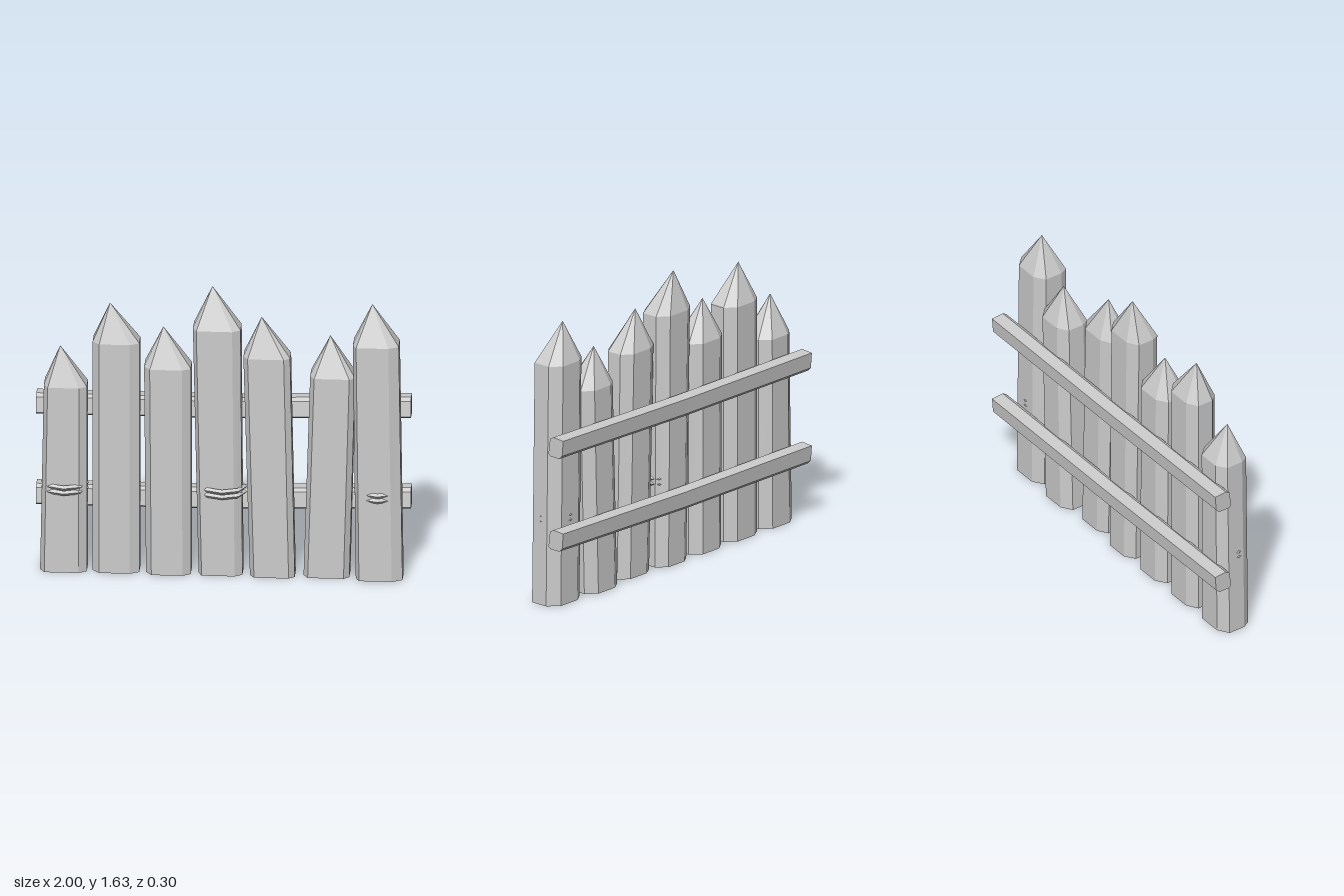
import * as THREE from 'three';

// Flat-shaded skin over a list of rings (equal point counts), closed at both ends.
function loft(rings) {
  const pos = [];
  const tri = (a, b, c) => {
    const n = b.clone().sub(a).cross(c.clone().sub(a));
    if (n.length() > 1e-9) for (const p of [a, b, c]) pos.push(p.x, p.y, p.z);
  };
  const n = rings[0].length;
  for (let r = 0; r + 1 < rings.length; r++) {
    for (let i = 0; i < n; i++) {
      const j = (i + 1) % n, lo = rings[r], hi = rings[r + 1];
      tri(lo[i], lo[j], hi[j]);
      tri(lo[i], hi[j], hi[i]);
    }
  }
  const first = rings[0], last = rings[rings.length - 1];
  for (let i = 1; i + 1 < n; i++) {
    tri(first[0], first[i + 1], first[i]);
    tri(last[0], last[i], last[i + 1]);
  }
  const g = new THREE.BufferGeometry();
  g.setAttribute('position', new THREE.Float32BufferAttribute(pos, 3));
  g.computeVertexNormals();
  return g;
}

// Eight-sided stake outline; l and r are the chamfer widths as fractions.
function stakeRing(y, x0, x1, z0, z1, l, r) {
  const w = x1 - x0, d = z1 - z0;
  return [
    [1 - r, 1], [1, 0.84], [1, 0.3], [0.78, 0],
    [0.24, 0], [0, 0.22], [0, 0.76], [l, 1],
  ].map(([u, v]) => new THREE.Vector3(x0 + u * w, y, z0 + v * d));
}

export function createModel() {
  const model = new THREE.Group();
  const wood = new THREE.MeshStandardMaterial({ color: 0xcccccc, flatShading: true });
  wood.name = 'pale grey';
  const add = (geometry, name, parent = model) => {
    const mesh = new THREE.Mesh(geometry, wood);
    mesh.name = name;
    parent.add(mesh);
    return mesh;
  };

  // Pointed stakes: foot x range, shoulder x range and height, tip, z range, chamfers
  const stakes = [
    { foot: [-0.97, -0.72], top: [-0.95, -0.72], h: 1.065, tip: [-0.865, 1.28, 0.04], z: [-0.06, 0.118], c: [0.1, 0.17] },
    { foot: [-0.69, -0.44], top: [-0.69, -0.44], h: 1.32, tip: [-0.6, 1.53, 0.03], z: [-0.06, 0.11], c: [0.15, 0.2] },
    { foot: [-0.405, -0.165], top: [-0.415, -0.165], h: 1.185, tip: [-0.315, 1.4, 0.03], z: [-0.06, 0.12], c: [0.13, 0.18] },
    { foot: [-0.125, 0.11], top: [-0.155, 0.1], h: 1.41, tip: [-0.055, 1.63, 0.005], z: [-0.062, 0.11], c: [0.08, 0.17] },
    { foot: [0.15, 0.39], top: [0.115, 0.365], h: 1.26, tip: [0.21, 1.475, 0.04], z: [-0.04, 0.12], c: [0.1, 0.13] },
    { foot: [0.435, 0.68], top: [0.47, 0.71], h: 1.15, tip: [0.575, 1.365, 0.01], z: [-0.07, 0.105], c: [0.1, 0.12] },
    { foot: [0.715, 0.965], top: [0.7, 0.945], h: 1.345, tip: [0.8, 1.56, 0.03], z: [-0.055, 0.13], c: [0.08, 0.22] },
  ];
  for (const s of stakes) {
    const foot = stakeRing(0, ...s.foot, ...s.z, ...s.c);
    const shoulder = stakeRing(s.h, ...s.top, ...s.z, ...s.c);
    const tip = foot.map(() => new THREE.Vector3(...s.tip));
    add(loft([foot, shoulder, tip]), 'stake');
  }

  // Back rails: bevelled bars that rise slightly on the left half
  const section = [
    [-0.15, 0.106], [-0.08, 0.112], [-0.056, 0.098],
    [-0.045, 0.012], [-0.06, 0], [-0.122, 0], [-0.143, 0.02],
  ];
  for (const [name, y] of [['lowerRail', 0.322], ['upperRail', 0.845]]) {
    const rings = [[-1, 0, 0.012], [0, 0, 0.01], [1, 0.024, -0.003]].map(([x, dy, dz]) =>
      section.map(([z, h]) => new THREE.Vector3(x, y + h + dy, z + dz)));
    add(loft(rings), name);
  }

  // Twin rope bindings, mostly sunk into three of the stakes
  for (const x of [-0.84, 0.003, 0.832]) {
    const binding = new THREE.Group();
    binding.name = 'ropeBinding';
    binding.position.set(x, 0, 0.045);
    for (const y of [0.466, 0.496]) {
      const g = new THREE.TorusGeometry(0.115, 0.014, 4, 8);
      g.rotateX(Math.PI / 2);
      g.scale(1, 1, 0.81);
      add(g, 'ropeLoop', binding).position.y = y;
    }
    model.add(binding);
  }
  return model;
}
